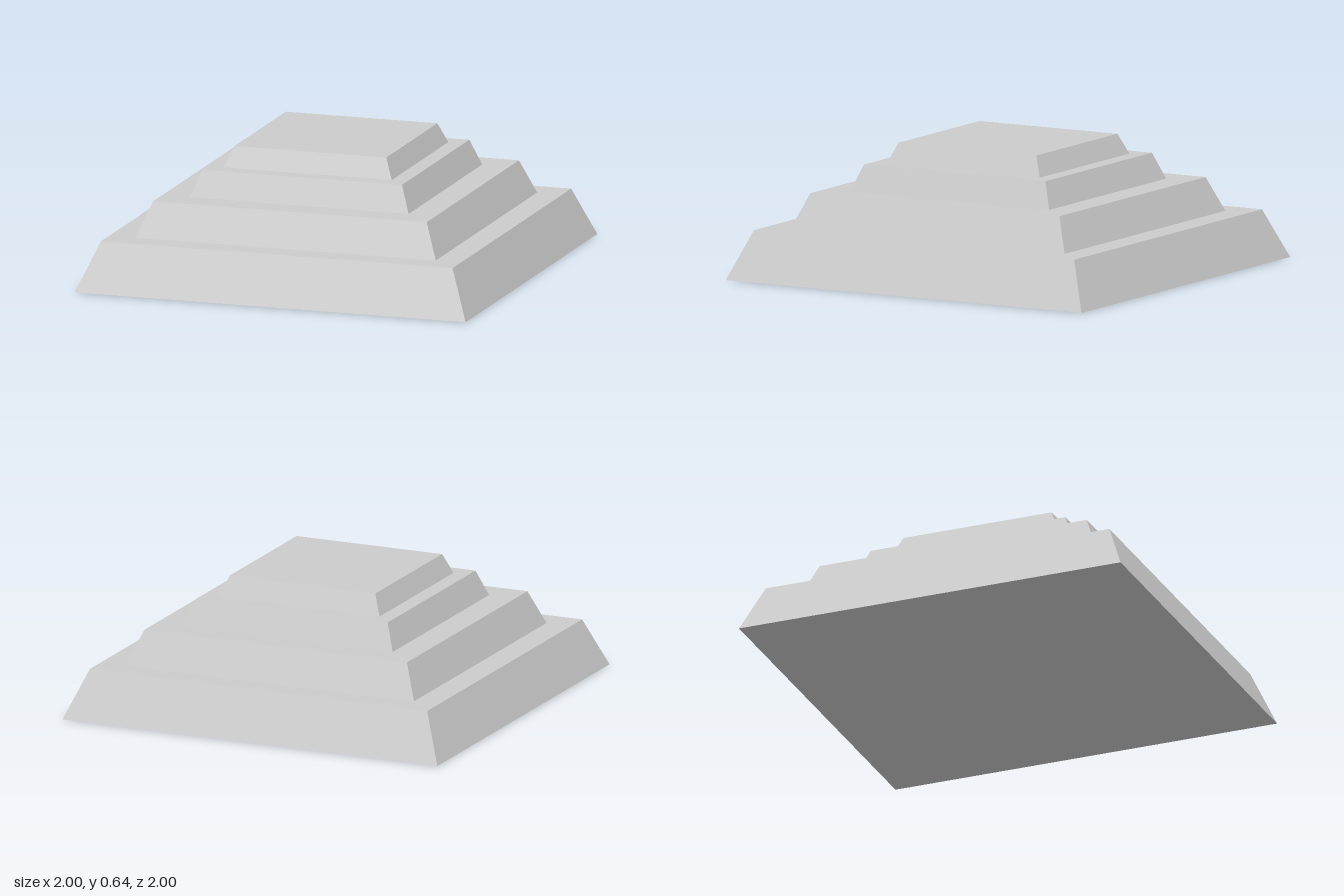
import * as THREE from 'three';

// Each tier: half width at its foot, half width at its top, foot height, top height
const TIERS = [
  ['baseTier', 1.0, 0.9, 0, 0.24],
  ['lowerTier', 0.77, 0.7, 0.24, 0.41],
  ['upperTier', 0.56, 0.51, 0.41, 0.54],
  ['topTier', 0.43, 0.388, 0.54, 0.64],
];

// Square frustum: a four-sided cylinder turned so its faces look along x and z
function frustum(foot, top, y0, y1) {
  const geometry = new THREE.CylinderGeometry(top * Math.SQRT2, foot * Math.SQRT2, y1 - y0, 4);
  geometry.rotateY(Math.PI / 4);
  geometry.translate(0, (y0 + y1) / 2, 0);
  return geometry;
}

export function createModel() {
  const group = new THREE.Group();
  group.name = 'steppedPyramid';
  const material = new THREE.MeshStandardMaterial({ color: 0xcccccc, flatShading: true });

  for (const [name, foot, top, y0, y1] of TIERS) {
    const tier = new THREE.Mesh(frustum(foot, top, y0, y1), material);
    tier.name = name;
    group.add(tier);
  }
  return group;
}
